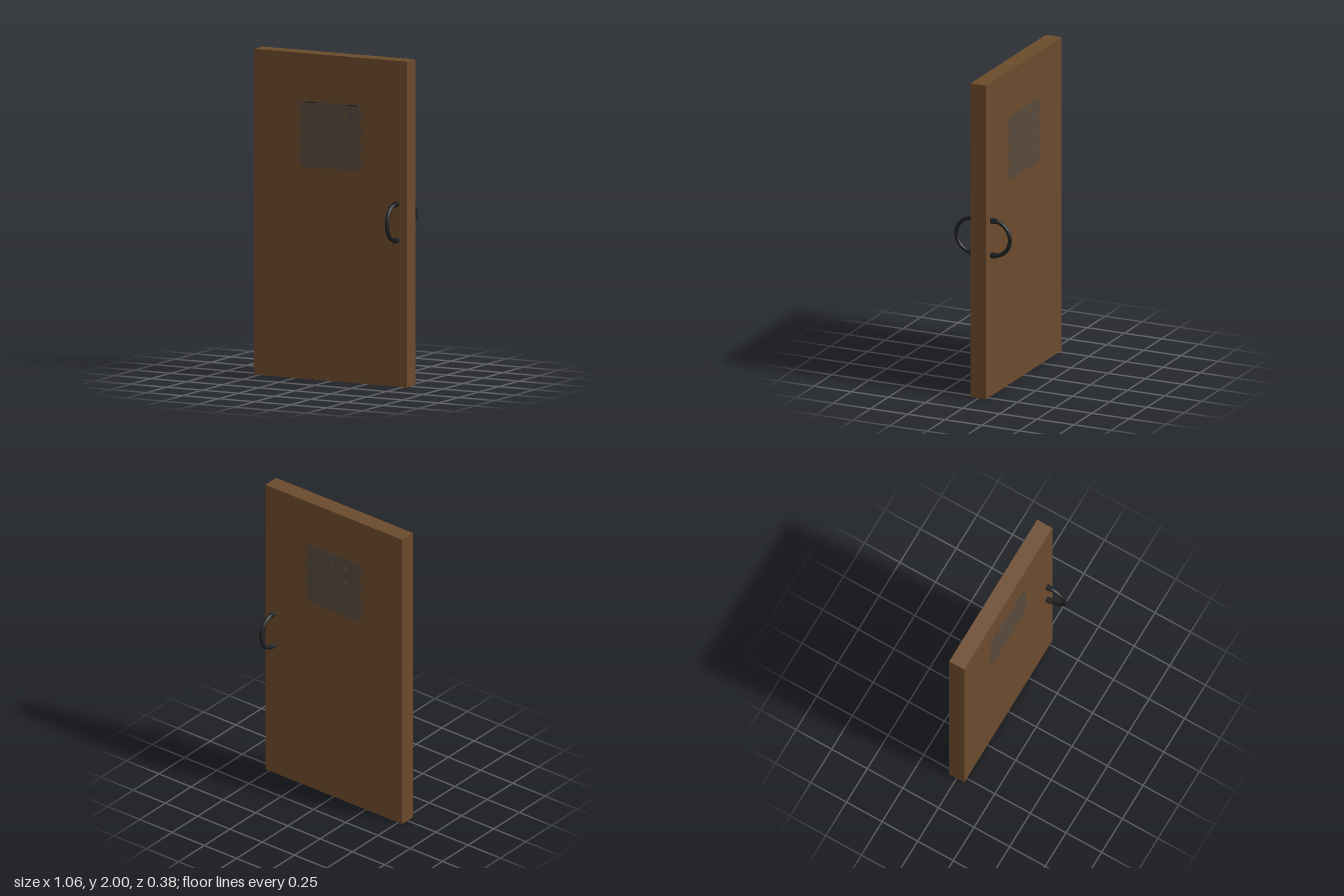
import * as THREE from 'three';

const W = 1.06, H = 2, D = 0.106;

// Square plate with scalloped edges and small diamond openings
function grilleShape() {
  const pts = [];
  const half = 0.2, bumps = 4, steps = 32;
  for (let side = 0; side < 4; side++) {
    const a = side * Math.PI / 2;
    for (let i = 0; i < steps; i++) {
      const t = i / steps;
      const u = -half + 2 * half * t;
      const v = -half - (side % 2 ? 0.02 : 0.004) * Math.abs(Math.sin(t * bumps * Math.PI));
      pts.push(new THREE.Vector2(u * Math.cos(a) - v * Math.sin(a), u * Math.sin(a) + v * Math.cos(a)));
    }
  }
  const shape = new THREE.Shape(pts);
  for (let r = 0; r < 3; r++) {
    for (let c = -1; c <= 1; c++) {
      const x = c * 0.1, y = 0.14 - r * 0.1, s = 0.016 - r * 0.003;
      shape.holes.push(new THREE.Path([
        new THREE.Vector2(x - s, y), new THREE.Vector2(x, y + s),
        new THREE.Vector2(x + s, y), new THREE.Vector2(x, y - s),
      ]));
    }
  }
  return shape;
}

export function createModel() {
  const wood = new THREE.MeshStandardMaterial({ color: 0x6b4a2c });
  wood.name = 'brownWood';
  const grey = new THREE.MeshStandardMaterial({ color: 0x584a3d });
  grey.name = 'greyGrille';
  const iron = new THREE.MeshStandardMaterial({ color: 0x1e1f20 });
  iron.name = 'blackIron';

  const model = new THREE.Group();
  model.name = 'door';
  const add = (parent, name, geometry, material, x = 0, y = 0, z = 0) => {
    const mesh = new THREE.Mesh(geometry, material);
    mesh.name = name;
    mesh.position.set(x, y, z);
    parent.add(mesh);
    return mesh;
  };

  add(model, 'doorPanel', new THREE.BoxGeometry(W, H, D), wood, 0, H / 2, 0);

  const grilleGeo = new THREE.ExtrudeGeometry(grilleShape(), { depth: 0.002, bevelEnabled: false });

  // Half-ring pull, closed inside its two mounts
  const ringGeo = new THREE.TorusGeometry(0.11, 0.0125, 12, 32, Math.PI);
  ringGeo.rotateZ(-Math.PI / 2).rotateY(-Math.PI / 2);
  const mountGeo = new THREE.CylinderGeometry(0.0175, 0.0175, 0.04, 8);
  mountGeo.rotateY(Math.PI / 8).rotateX(Math.PI / 2);

  // The same fittings on both faces; the back set keeps the pull at +x
  for (const face of [1, -1]) {
    const fittings = new THREE.Group();
    fittings.name = face > 0 ? 'frontFittings' : 'backFittings';
    fittings.rotation.y = face > 0 ? 0 : Math.PI;
    add(fittings, 'windowGrille', grilleGeo, grey, 0, 1.505, D / 2 - 0.0005);

    const handle = new THREE.Group();
    handle.name = 'pullHandle';
    handle.position.set(face * 0.462, 1.01, 0);
    add(handle, 'handleRing', ringGeo, iron, 0, 0, 0.07);
    for (const s of [1, -1]) add(handle, 'handleMount', mountGeo, iron, 0, s * 0.11, 0.069);
    fittings.add(handle);
    model.add(fittings);
  }

  // Dark gaps along the top of the front grille
  for (const x of [-0.14, 0.15]) {
    add(model, 'grilleGap', new THREE.BoxGeometry(0.07, 0.006, 0.003), iron, x, 1.702, D / 2 + 0.001);
  }
  return model;
}
